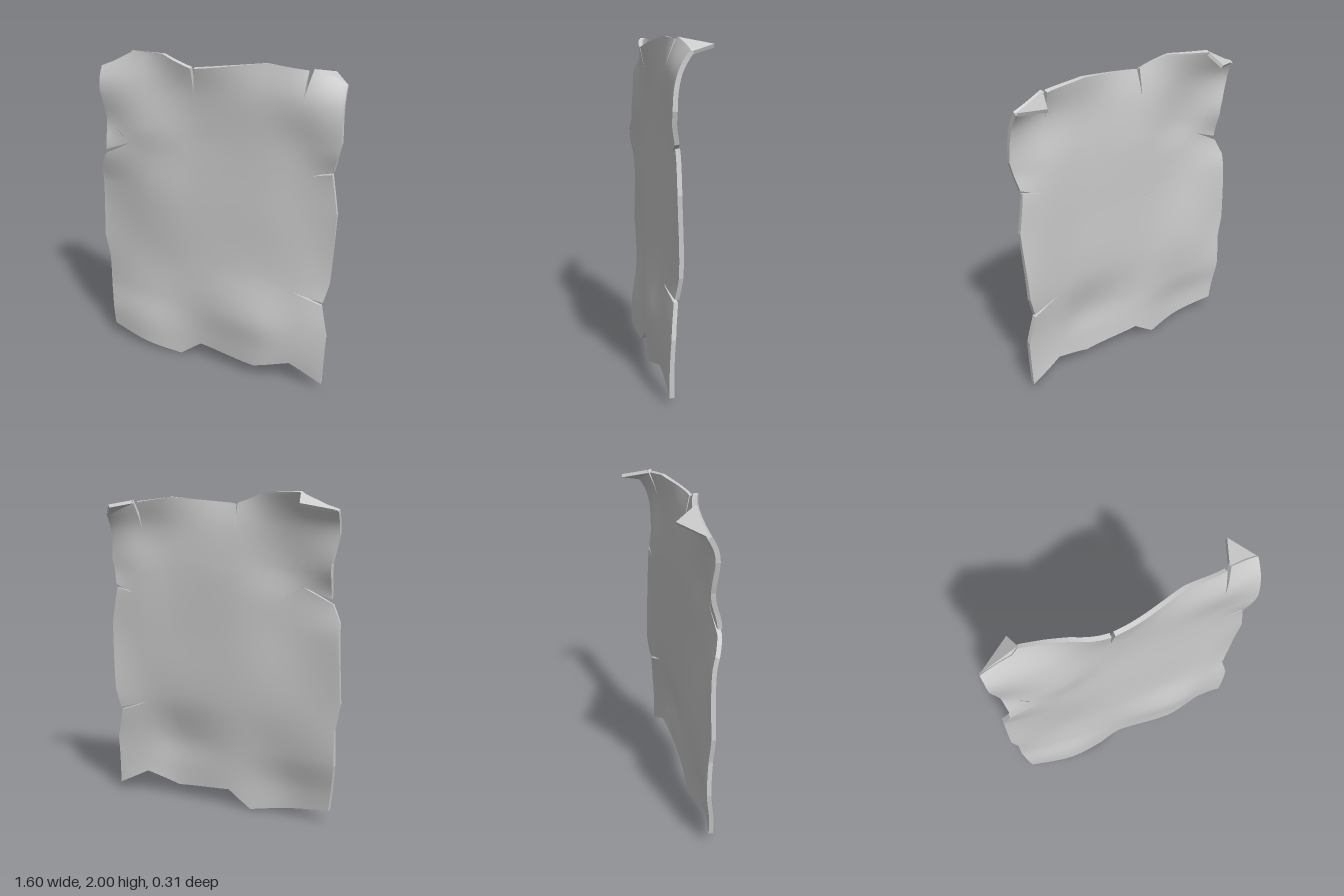
import * as THREE from 'three';
import { ConvexGeometry } from 'three/addons/geometries/ConvexGeometry.js';

const HALF = 0.013; // half the sheet thickness

// Relief of the sheet: z on a coarse lattice of columns and rows
const COLS = [-0.78, -0.45, -0.1, 0.33, 0.58, 0.79];
const ROWS = [0, 0.2, 0.4, 0.7, 1.15, 1.38, 1.55, 1.8, 2];
const RELIEF = [
  [0.06, 0.12, 0.085, 0.12, 0.08, 0.08],
  [0.06, 0.115, 0.09, 0.13, 0.10, 0.08],
  [0.04, 0.08, 0.09, 0.14, 0.10, 0.07],
  [0.05, 0.06, 0.075, 0.08, 0.07, 0.03],
  [0.05, 0.09, 0.07, 0.065, 0.05, 0.045],
  [0.09, 0.10, 0.065, 0.06, 0.045, 0.05],
  [0.04, 0.11, 0.065, 0.06, 0.05, 0.075],
  [0.05, 0.08, 0.08, 0.065, 0.07, 0.045],
  [-0.075, 0.02, 0.12, 0.04, 0.01, -0.09],
];

// Outline with torn slits, counterclockwise from the lower corner at -x
const OUTLINE = [
  [-0.74, 0.09], [-0.21, 0.005], [-0.06, 0.115], [0.33, 0.08], [0.56, 0.15], [0.77, 0.045],
  [0.78, 0.38], [0.735, 0.575], [0.55, 0.64], [0.74, 0.595], [0.77, 0.72], [0.79, 1.17],
  [0.75, 1.41], [0.63, 1.38], [0.76, 1.43], [0.80, 1.6], [0.785, 1.9],
  [0.60, 1.975], [0.565, 1.80], [0.575, 1.965], [0.33, 1.99], [-0.085, 1.94], [-0.10, 1.78],
  [-0.105, 1.94], [-0.3, 2.0], [-0.55, 1.99], [-0.59, 1.95], [-0.775, 1.88], [-0.77, 1.75],
  [-0.73, 1.58], [-0.72, 1.375], [-0.54, 1.44], [-0.73, 1.345], [-0.78, 1.24],
  [-0.80, 0.76], [-0.77, 0.6], [-0.775, 0.38],
].map(([x, y]) => new THREE.Vector2(x, y));

// Smooth interpolation of the values at the knots
function spline(knots, values, t) {
  const n = knots.length;
  t = THREE.MathUtils.clamp(t, knots[0], knots[n - 1]);
  let i = 0;
  while (i < n - 2 && t > knots[i + 1]) i++;
  const h = knots[i + 1] - knots[i], f = (t - knots[i]) / h;
  const slope = (k) => {
    const a = Math.max(k - 1, 0), b = Math.min(k + 1, n - 1);
    return (values[b] - values[a]) / (knots[b] - knots[a]);
  };
  const f2 = f * f, f3 = f2 * f;
  return (2 * f3 - 3 * f2 + 1) * values[i] + (f3 - 2 * f2 + f) * h * slope(i)
    + (3 * f2 - 2 * f3) * values[i + 1] + (f3 - f2) * h * slope(i + 1);
}

const height = (x, y) => spline(ROWS, RELIEF.map((row) => spline(COLS, row, x)), y);

function normalAt(x, y) {
  const e = 0.02;
  return new THREE.Vector3(
    (height(x - e, y) - height(x + e, y)) / (2 * e),
    (height(x, y - e) - height(x, y + e)) / (2 * e), 1).normalize();
}

// Point on the front (side 1) or back (side -1) of the sheet
function surface(p, side) {
  return new THREE.Vector3(p.x, p.y, height(p.x, p.y)).addScaledVector(normalAt(p.x, p.y), side * HALF);
}

// Split each triangle into four, repeatedly
function subdivide(tris, levels) {
  for (let l = 0; l < levels; l++) {
    tris = tris.flatMap(([a, b, c]) => {
      const [ab, bc, ca] = [[a, b], [b, c], [c, a]].map(([p, q]) => p.clone().add(q).multiplyScalar(0.5));
      return [[a, ab, ca], [ab, b, bc], [ca, bc, c], [ab, bc, ca]];
    });
  }
  return tris;
}

function sheetFace(tris, side) {
  const pos = [], nor = [];
  for (const [a, b, c] of tris) {
    for (const p of side > 0 ? [a, b, c] : [a, c, b]) {
      pos.push(...surface(p, side).toArray());
      nor.push(...normalAt(p.x, p.y).multiplyScalar(side).toArray());
    }
  }
  const g = new THREE.BufferGeometry();
  g.setAttribute('position', new THREE.Float32BufferAttribute(pos, 3));
  g.setAttribute('normal', new THREE.Float32BufferAttribute(nor, 3));
  return g;
}

// Narrow wall joining front and back along the outline
function rim(steps) {
  const pos = [];
  OUTLINE.forEach((a, i) => {
    const b = OUTLINE[(i + 1) % OUTLINE.length];
    for (let s = 0; s < steps; s++) {
      const p = a.clone().lerp(b, s / steps), q = a.clone().lerp(b, (s + 1) / steps);
      const [pf, pb, qf, qb] = [surface(p, 1), surface(p, -1), surface(q, 1), surface(q, -1)];
      for (const v of [pf, pb, qb, pf, qb, qf]) pos.push(...v.toArray());
    }
  });
  const g = new THREE.BufferGeometry();
  g.setAttribute('position', new THREE.Float32BufferAttribute(pos, 3));
  g.computeVertexNormals();
  return g;
}

// Corner folded backwards: a thin triangle from a fold line to its tip
function flap(a, b, tip) {
  const pts = [a, b].map(([x, y]) => new THREE.Vector3(x, y, height(x, y)));
  pts.push(new THREE.Vector3(...tip));
  const n = new THREE.Triangle(...pts).getNormal(new THREE.Vector3()).multiplyScalar(HALF * 0.8);
  if (n.y > 0) n.negate();
  return new ConvexGeometry(pts.flatMap((p) => [p.clone(), p.clone().addScaledVector(n, 2)]));
}

export function createModel() {
  const group = new THREE.Group();
  group.name = 'tornSheet';
  const material = new THREE.MeshStandardMaterial({ color: 0xcccccc });
  const add = (name, geometry) => {
    const mesh = new THREE.Mesh(geometry, material);
    mesh.name = name;
    group.add(mesh);
  };

  const faces = THREE.ShapeUtils.triangulateShape(OUTLINE.slice(), []);
  const tris = subdivide(faces.map((f) => f.map((i) => OUTLINE[i])), 4);
  add('sheetFront', sheetFace(tris, 1));
  add('sheetBack', sheetFace(tris, -1));
  add('sheetRim', rim(16));

  // Folded top corners
  add('leftCornerFlap', flap([0.6, 1.975], [0.785, 1.9], [0.675, 1.94, -0.155]));
  add('rightCornerFlap', flap([-0.55, 1.99], [-0.775, 1.88], [-0.58, 1.92, -0.11]));
  return group;
}
